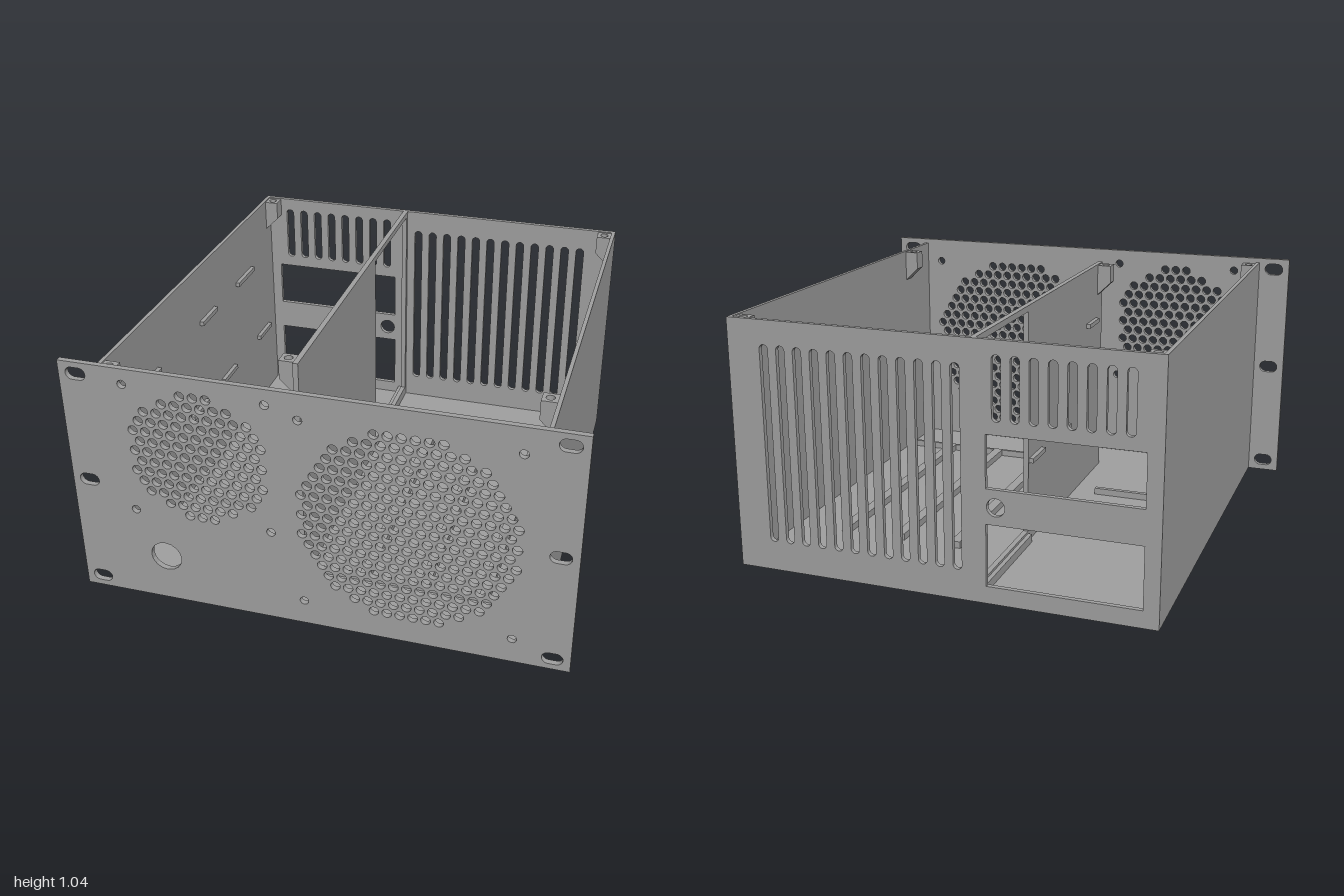
import * as THREE from 'three';

const grey = new THREE.MeshStandardMaterial({ color: 0xa0a0a0 });
grey.name = 'grey sheet';

// Closed rectangle, as an outline or a hole
function rect(x0, y0, x1, y1, Type = THREE.Path) {
  const p = new Type();
  p.moveTo(x0, y0);
  p.lineTo(x1, y0);
  p.lineTo(x1, y1);
  p.lineTo(x0, y1);
  p.closePath();
  return p;
}

function circle(x, y, r) {
  const p = new THREE.Path();
  p.absarc(x, y, r, 0, Math.PI * 2, true);
  return p;
}

// Rounded slot: half length a along the long axis between arc centres
function slot(x, y, a, r, upright = false) {
  const p = new THREE.Path();
  const t = upright ? Math.PI / 2 : 0;
  const dx = upright ? 0 : a, dy = upright ? a : 0;
  p.absarc(x + dx, y + dy, r, t - Math.PI / 2, t + Math.PI / 2, false);
  p.absarc(x - dx, y - dy, r, t + Math.PI / 2, t + Math.PI * 1.5, false);
  p.closePath();
  return p;
}

// Round grille of holes on a triangular grid
function grille(cx, cy, radius) {
  const holes = [], pitch = 0.0515, rise = pitch * 0.866;
  for (let j = -10; j <= 10; j++) {
    for (let i = -10; i <= 10; i++) {
      const x = (i + (j % 2 ? 0.5 : 0)) * pitch, y = j * rise;
      if (Math.hypot(x, y) < radius) holes.push(circle(cx + x, cy + y, 0.0195));
    }
  }
  return holes;
}

function plate(shape, depth, curveSegments = 8) {
  return new THREE.ExtrudeGeometry(shape, { depth, bevelEnabled: false, curveSegments });
}

export function createModel() {
  const model = new THREE.Group();
  model.name = 'rackCase';

  const add = (name, geometry, x = 0, y = 0, z = 0, parent = model) => {
    const m = new THREE.Mesh(geometry, grey);
    m.name = name;
    m.position.set(x, y, z);
    parent.add(m);
    return m;
  };
  // Box given by its limits
  const box = (name, x0, x1, y0, y1, z0, z1) =>
    add(name, new THREE.BoxGeometry(x1 - x0, y1 - y0, z1 - z0), (x0 + x1) / 2, (y0 + y1) / 2, (z0 + z1) / 2);

  const W = 0.862, T = 0.016, H = 1.025, BACK = -0.94, FRONT = 0.917;

  // Front panel with mounting slots, two fan grilles and a switch hole
  const front = rect(-1, 0, 1, 1.045, THREE.Shape);
  for (const x of [-0.93, 0.93])
    for (const y of [0.05, 0.523, 0.996]) front.holes.push(slot(x, y, 0.015, 0.026));
  front.holes.push(...grille(0.36, 0.523, 0.423), ...grille(-0.46, 0.695, 0.276));
  for (const [cx, cy, d] of [[0.36, 0.523, 0.413], [-0.46, 0.697, 0.282]])
    for (const sx of [-1, 1])
      for (const sy of [-1, 1]) front.holes.push(circle(cx + sx * d, cy + sy * d, 0.018));
  front.holes.push(circle(-0.632, 0.207, 0.065));
  add('frontPanel', plate(front, 0.94 - FRONT), 0, 0, FRONT);

  // Back panel with vents and connector openings
  const back = rect(-W, 0, W, H, THREE.Shape);
  for (let i = 0; i < 12; i++) back.holes.push(slot(-0.08 + i * 0.0715, 0.525, 0.385, 0.018, true));
  for (let i = 0; i < 8; i++) back.holes.push(slot(-0.74 + i * 0.0715, 0.845, 0.107, 0.018, true));
  back.holes.push(rect(-0.8, 0.46, -0.196, 0.67), rect(-0.8, 0.07, -0.196, 0.32), circle(-0.235, 0.39, 0.036));
  add('backPanel', plate(back, 0.02), 0, 0, BACK);

  // Floor and side walls
  box('floor', -W, W, 0, T, BACK + 0.02, FRONT);
  for (const s of [-1, 1])
    box(s < 0 ? 'rightWall' : 'leftWall', s < 0 ? -W : W - T, s < 0 ? -W + T : W, T, H, BACK + 0.02, FRONT);

  // Divider, open at the rear under a thin beam
  const wall = rect(-0.92, T, 0.69, H, THREE.Shape);
  wall.holes.push(rect(-0.9, 0.06, -0.36, 1.0));
  add('divider', plate(wall, 0.022).rotateY(-Math.PI / 2), -0.135);
  box('dividerSill', -0.175, -0.157, T, 0.05, -0.92, -0.36);

  // Short ledges facing each other in the narrow bay
  const ledges = [[-0.165, 0, 0.765], [0.44, 0.59, 0.765], [-0.35, -0.19, 0.37], [0, 0.17, 0.37]];
  for (const [z0, z1, y] of ledges) {
    box('dividerLedge', -0.176, -0.157, y - 0.01, y + 0.01, z0, z1);
    box('wallLedge', -W + T, -0.828, y - 0.01, y + 0.01, z0, z1);
  }
  box('wallLedge', -W + T, -0.828, 0.755, 0.775, -0.63, -0.43);
  box('wallLedge', -W + T, -0.828, 0.36, 0.38, -0.82, -0.66);

  // Low ribs on the floor
  for (const x of [0.103, 0.356, 0.608]) box('floorRib', x - 0.021, x + 0.021, T, 0.045, -0.53, 0.63);
  box('floorLip', -0.135, W - T, T, 0.045, 0.628, 0.642);
  box('narrowBayRib', -0.745, -0.262, T, 0.045, 0.265, 0.286);

  // Screw bosses: drilled block on a tapered foot; side points to the wall
  const bosses = [[-0.817, -0.891, -1], [0.816, -0.891, 1], [-0.817, 0.882, -1], [-0.188, 0.643, 1], [0.816, 0.673, 1]];
  for (const [x, z, side] of bosses) {
    const boss = new THREE.Group();
    boss.name = 'screwBoss';
    boss.position.set(x, 0, z);
    const h = 0.031;
    const top = rect(-h, -h, h, h, THREE.Shape);
    top.holes.push(circle(0, 0, 0.017));
    add('bossBlock', plate(top, 0.08).rotateX(-Math.PI / 2), 0, 0.94, 0, boss);
    const foot = new THREE.Shape();
    foot.moveTo(-h, 0.94);
    foot.lineTo(side * h, 0.88);
    foot.lineTo(h, 0.94);
    foot.closePath();
    add('bossFoot', plate(foot, 2 * h), 0, 0, -h, boss);
    model.add(boss);
  }
  return model;
}
